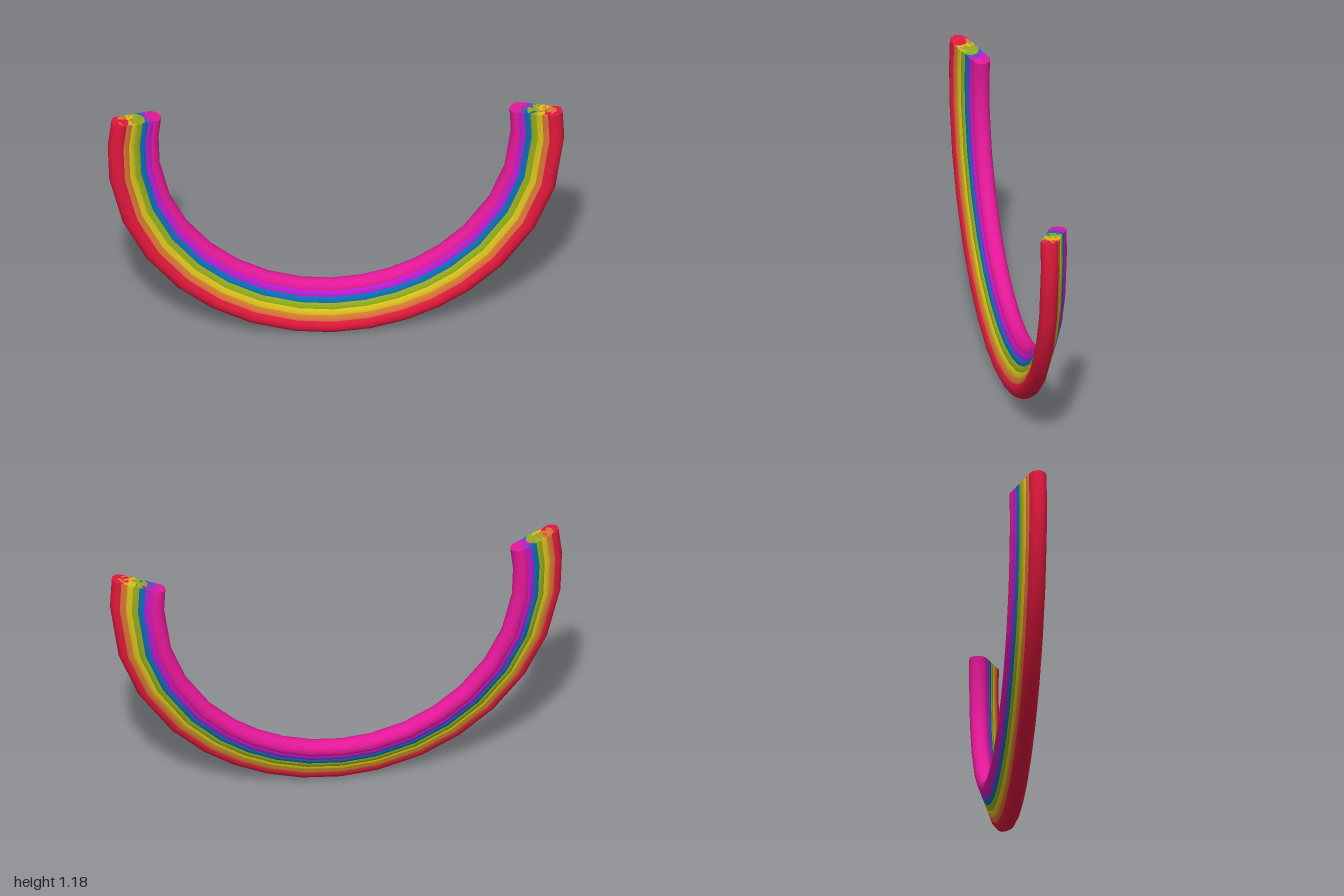
import * as THREE from 'three';

const RAD = Math.PI / 180;
const TUBE = 0.039;
const SIDES = 14;
// slightly uneven joints along the arc, in degrees
const ANGLES = [169.4, 177, 187.4, 201, 213.5, 226, 237, 248, 259.5, 269,
  278.7, 288, 297, 306, 317, 331, 344, 359, 367.2].map(a => a * RAD);
const BANDS = [
  ['red', 0xe0183c], ['orange', 0xd87434], ['yellow', 0xd8c01c], ['green', 0x90ac1c],
  ['blue', 0x0c6cb8], ['purple', 0xb81cd0], ['magenta', 0xe41898],
];

// torus arc whose rings are turned to the listed angles
function bandGeometry(radius) {
  const n = ANGLES.length - 1;
  const arc = ANGLES[n] - ANGLES[0];
  const geo = new THREE.TorusGeometry(radius, TUBE, SIDES, n, arc);
  const axis = new THREE.Vector3(0, 0, 1);
  const v = new THREE.Vector3();
  for (const attr of [geo.attributes.position, geo.attributes.normal]) {
    for (let i = 0; i < attr.count; i++) {
      const j = i % (n + 1);
      v.fromBufferAttribute(attr, i).applyAxisAngle(axis, ANGLES[j] - arc * j / n);
      attr.setXYZ(i, v.x, v.y, v.z);
    }
  }
  return geo;
}

// flat disc closing a band; sign tells which way along the arc it faces
function endCap(radius, angle, sign, material) {
  const geo = new THREE.CircleGeometry(TUBE, SIDES);
  geo.rotateX(-sign * Math.PI / 2);
  geo.translate(radius, 0, 0);
  geo.rotateZ(angle);
  return new THREE.Mesh(geo, material);
}

export function createModel() {
  const group = new THREE.Group();
  group.name = 'rainbowArc';
  BANDS.forEach(([name, color], i) => {
    // each band is smaller and further back than the last
    const t = i / (BANDS.length - 1);
    const radius = 0.96 - 0.15 * t;
    const material = new THREE.MeshStandardMaterial({ color });
    const band = new THREE.Group();
    band.name = name + 'Band';
    const tube = new THREE.Mesh(bandGeometry(radius), material);
    tube.name = name + 'Tube';
    const start = endCap(radius, ANGLES[0], -1, material);
    start.name = name + 'RightEnd';
    const end = endCap(radius, ANGLES[ANGLES.length - 1], 1, material);
    end.name = name + 'LeftEnd';
    band.add(tube, start, end);
    band.position.set(0, 1, 0.034 - 0.068 * t);
    group.add(band);
  });
  return group;
}
